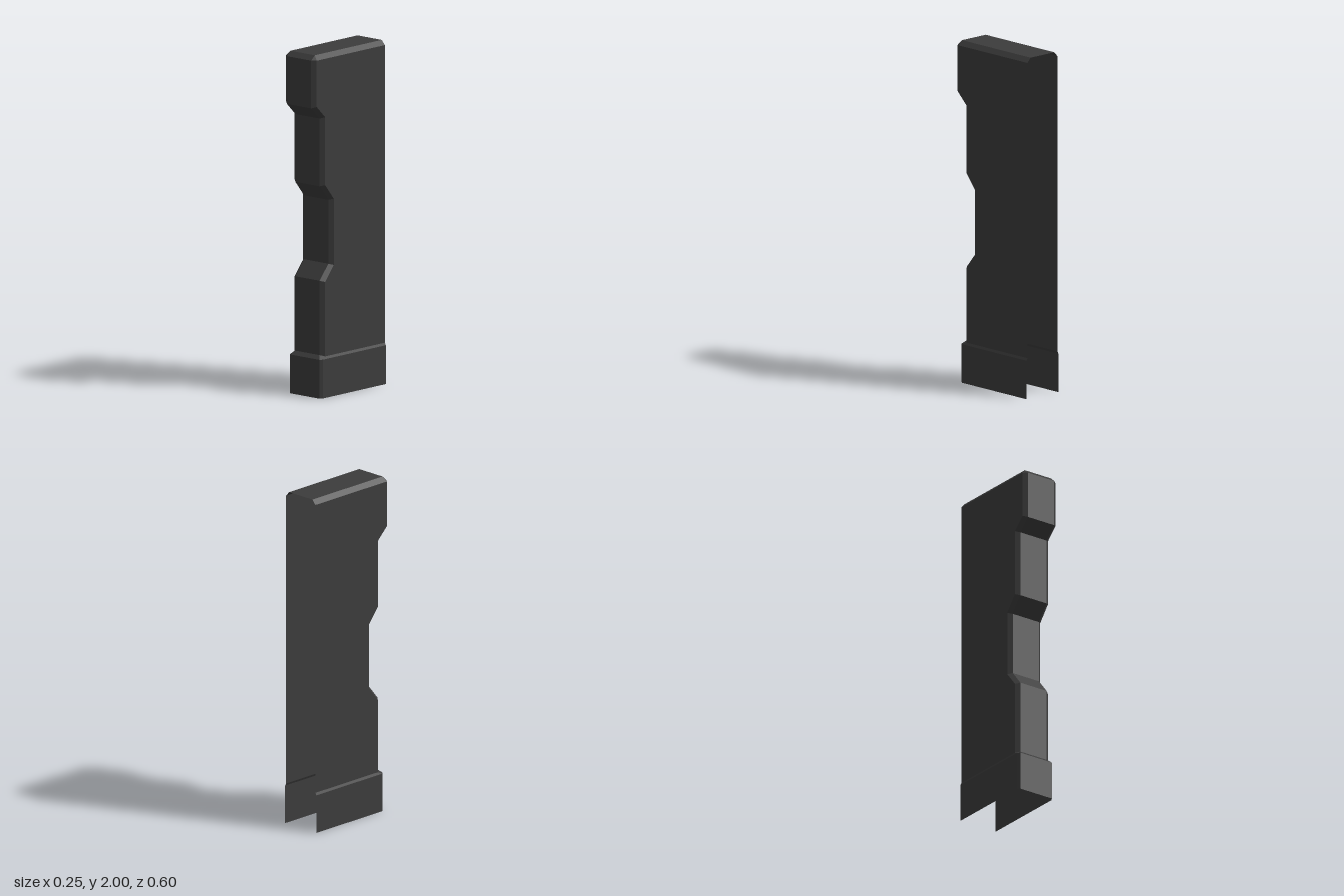
import * as THREE from 'three';

const BACK = -0.3;

// Open cross-section, from the left back edge around the front to the right back edge.
// y/z: front face, ys/zs: side edge of the corner bevel, wf/w: front and full half-widths.
function section({ y, z, ys = y, zs = z - 0.02, wf = 0.093, w = 0.117 }) {
  return [
    [w, ys, BACK], [w, ys, zs], [wf, y, z],
    [-wf, y, z], [-w, ys, zs], [-w, ys, BACK],
  ];
}

// Flat-shaded skin over a stack of sections, with an optional lid on the last one.
function skin(name, levels, material, lid = false) {
  const rows = levels.map(section);
  const pos = [];
  const quad = (a, b, c, d) => pos.push(...a, ...b, ...c, ...a, ...c, ...d);
  for (let i = 0; i < rows.length - 1; i++) {
    for (let j = 0; j < 5; j++) {
      quad(rows[i][j], rows[i + 1][j], rows[i + 1][j + 1], rows[i][j + 1]);
    }
  }
  if (lid) {
    const r = rows[rows.length - 1];
    quad(r[0], r[5], r[4], r[1]);
  }
  const geometry = new THREE.BufferGeometry();
  geometry.setAttribute('position', new THREE.Float32BufferAttribute(pos, 3));
  geometry.computeVertexNormals();
  const mesh = new THREE.Mesh(geometry, material);
  mesh.name = name;
  return mesh;
}

export function createModel() {
  const group = new THREE.Group();
  group.name = 'pilaster';
  const material = new THREE.MeshStandardMaterial({
    color: 0x3c3c3c, flatShading: true, side: THREE.DoubleSide,
  });

  // Slightly wider plinth with a sloped upper edge
  const plinth = { z: 0.252, zs: 0.235, wf: 0.112, w: 0.124 };
  const bodyStart = { y: 0.247, ys: 0.24, z: 0.228 };
  group.add(skin('plinth', [
    { y: 0, ...plinth },
    { y: 0.226, ...plinth },
    bodyStart,
  ], material));

  // Body with recessed middle, projecting head and bevelled top
  group.add(skin('body', [
    bodyStart,
    { y: 0.68, ys: 0.673, z: 0.228 },
    { y: 0.768, ys: 0.761, z: 0.155 },
    { y: 1.14, ys: 1.147, z: 0.155 },
    { y: 1.23, ys: 1.237, z: 0.228 },
    { y: 1.625, ys: 1.633, z: 0.228 },
    { y: 1.695, ys: 1.703, z: 0.3 },
    { y: 1.973, z: 0.3 },
    { y: 2, z: 0.27, zs: 0.27, w: 0.093 },
  ], material, true));

  return group;
}
